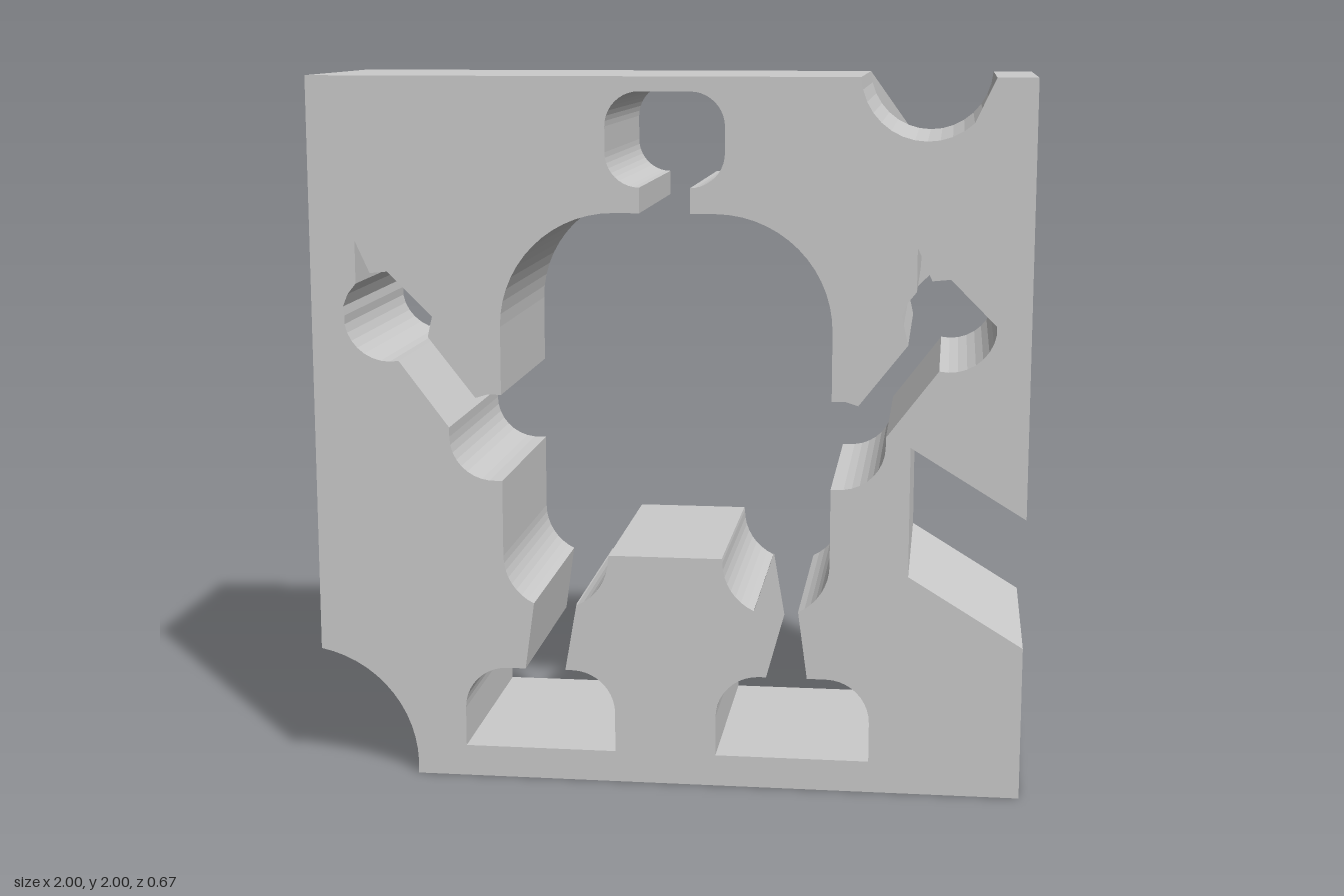
import * as THREE from 'three';

const DEPTH = 0.666;

// Points on an elliptical arc, angles in degrees
function arc(cx, cy, rx, ry, from, to, n = 10) {
  return Array.from({ length: n + 1 }, (_, i) => {
    const a = THREE.MathUtils.degToRad(from + (to - from) * i / n);
    return [cx + rx * Math.cos(a), cy + ry * Math.sin(a)];
  });
}
const vectors = (pts) => pts.map(([x, y]) => new THREE.Vector2(x, y));
const mirror = (pts) => pts.map(([x, y]) => [-x, y]);

// One claw of the hand on the -x side: side = 1 is nearer the body, -1 is outer
const HAND_X = -0.78;
function claw(side) {
  return [[0.125, 1.335], [0.129, 1.36], [0.115, 1.395], [0.091, 1.425],
    [0.091, 1.545], [0.05, 1.455], [0, 1.46]].map(([x, y]) => [HAND_X + side * x, y]);
}

// Half of the figure cut-out, from the top of the head down to the crotch
function halfFigure() {
  return [
    [0, 1.96],
    ...arc(-0.07, 1.865, 0.095, 0.095, 90, 180),   // head
    ...arc(-0.07, 1.795, 0.095, 0.095, 180, 270),
    [-0.07, 1.63],                                 // neck
    ...arc(-0.14, 1.31, 0.322, 0.32, 90, 180, 14), // torso
    [-0.462, 1.118], [-0.5, 1.119], [-0.535, 1.108], // shoulder
    [-0.668, 1.278],                               // forearm
    ...claw(1),
    ...claw(-1).reverse().slice(1),
    ...arc(HAND_X, 1.332, 0.128, 0.126, 190, 282, 8), // palm
    [-0.612, 1.022],
    ...arc(-0.487, 0.995, 0.125, 0.123, 180, 265, 8), // elbow
    [-0.462, 0.872],
    ...arc(-0.312, 0.655, 0.15, 0.15, 180, 245, 8), // hip
    [-0.402, 0.326],                               // leg
    ...arc(-0.455, 0.203, 0.123, 0.123, 90, 180),  // foot
    [-0.578, 0.09], [-0.144, 0.09],
    ...arc(-0.267, 0.203, 0.123, 0.123, 0, 90),
    [-0.287, 0.326], [-0.253, 0.522],
    ...arc(-0.312, 0.655, 0.15, 0.15, -66, 0, 8),  // inner hip
    [-0.16, 0.665],
  ];
}

export function createModel() {
  const group = new THREE.Group();
  const material = new THREE.MeshStandardMaterial({ color: 0xcccccc });
  const thin = new THREE.MeshStandardMaterial({ color: 0xcccccc, side: THREE.DoubleSide });

  // Block outline with corner scoop, side slot and top groove
  const groove = arc(0.71, 2.01, 0.18, 0.18, -3, -177, 16);
  const block = new THREE.Shape(vectors([
    ...arc(-1.06, 0.03, 0.34, 0.34, 80, -5, 14).map(([x, y]) => [Math.max(x, -1), Math.max(y, 0)]),
    [1, 0], [1, 0.435], [0.68, 0.63], [0.68, 0.995], [1, 0.8], [1, 2],
    ...groove.map(([x, y]) => [x, Math.min(y, 2)]),
    [-1, 2],
  ]));

  // Figure-shaped opening through the block
  const half = halfFigure();
  block.holes.push(new THREE.Path(vectors([...half, ...mirror(half.slice(1)).reverse()])));
  const body = new THREE.ExtrudeGeometry(block, { depth: DEPTH, bevelEnabled: false });
  body.translate(0, 0, -DEPTH / 2);
  const mesh = new THREE.Mesh(body, material);
  mesh.name = 'block';
  group.add(mesh);

  // Thin webs that close one claw per hand and part of the groove on each face
  function web(name, pts, z) {
    const part = new THREE.Mesh(new THREE.ShapeGeometry(new THREE.Shape(vectors(pts))), thin);
    part.position.z = z;
    part.name = name;
    group.add(part);
  }
  const z = DEPTH / 2;
  web('frontRightClawWeb', claw(1), z);
  web('frontLeftClawWeb', mirror(claw(-1)), z);
  web('backRightClawWeb', claw(-1), -z);
  web('backLeftClawWeb', mirror(claw(1)), -z);
  web('frontGrooveWeb', [[0.89, 2], ...groove.slice(1, 5)], z);
  web('backGrooveWeb', [...groove.slice(10, 16), [0.53, 2]], -z);
  return group;
}
